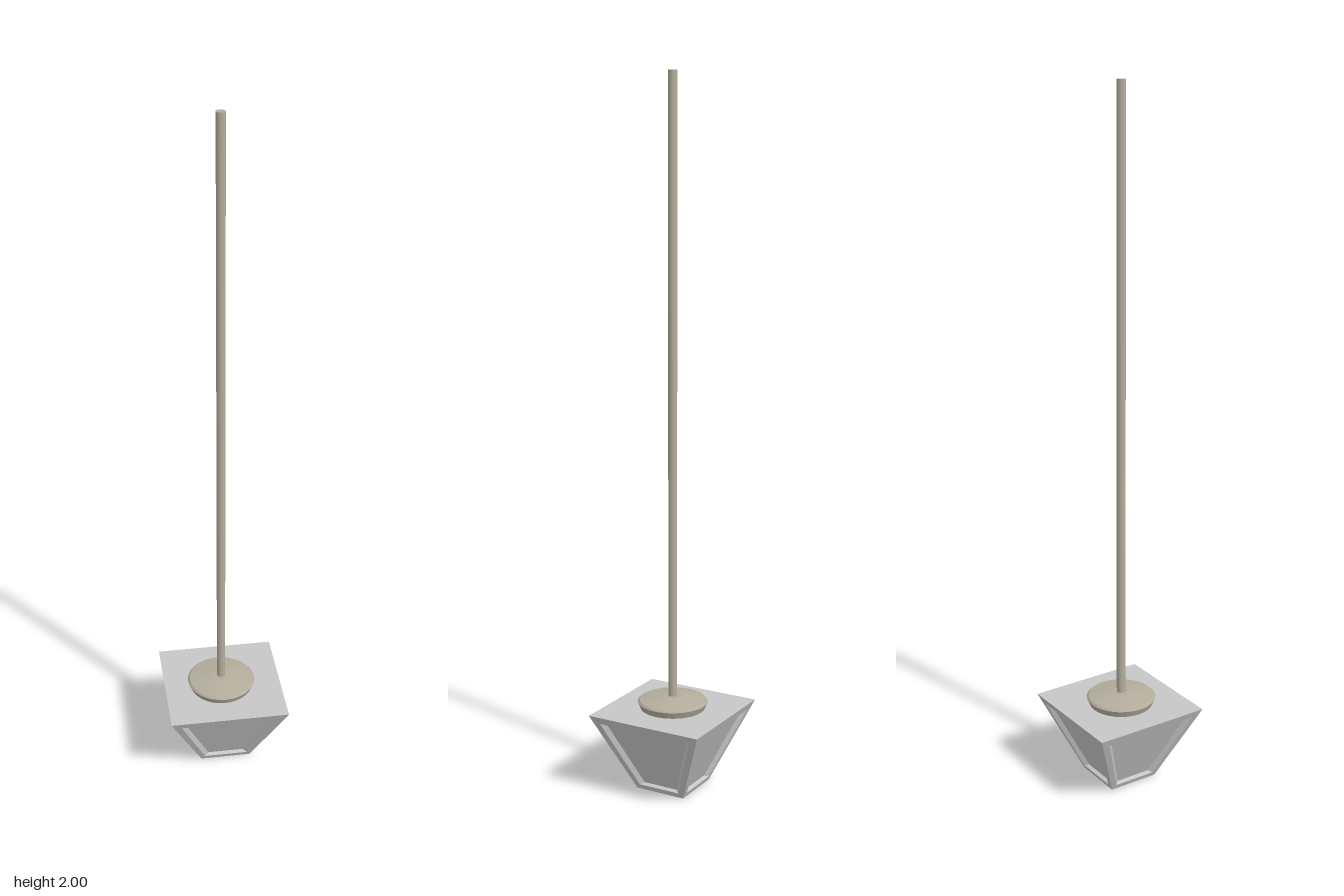
import * as THREE from 'three';

const TOP = 0.231, HALF_TOP = 0.174, HALF_BOTTOM = 0.075;

// Nested four-corner loops, joined by strips and closed by the last loop
function loopsGeometry(loops) {
  const pos = [];
  const quad = (a, b, c, d) => [a, b, c, a, c, d].forEach(p => pos.push(...p));
  for (let k = 0; k < loops.length - 1; k++) {
    const a = loops[k], b = loops[k + 1];
    for (let i = 0; i < 4; i++) {
      const j = (i + 1) % 4;
      quad(a[i], a[j], b[j], b[i]);
    }
  }
  quad(...loops[loops.length - 1]);
  const geo = new THREE.BufferGeometry();
  geo.setAttribute('position', new THREE.Float32BufferAttribute(pos, 3));
  geo.computeVertexNormals();
  return geo;
}

export function createModel() {
  const group = new THREE.Group();
  const shadeGrey = new THREE.MeshStandardMaterial({ color: 0xc6c6c6, side: THREE.DoubleSide });
  const metal = new THREE.MeshStandardMaterial({ color: 0xb3ad9c });
  const add = (name, geo, mat, parent = group) => {
    const mesh = new THREE.Mesh(geo, mat);
    mesh.name = name;
    parent.add(mesh);
    return mesh;
  };

  // Tapered square shade: four sloping sides with recessed panes
  const shade = new THREE.Group();
  shade.name = 'shade';
  group.add(shade);
  const slope = (HALF_TOP - HALF_BOTTOM) / TOP;
  const trapezoid = (halfLow, yLow, halfHigh, yHigh, inset) => {
    const z = y => HALF_BOTTOM + slope * y - inset;
    return [
      [-halfLow, yLow, z(yLow)], [halfLow, yLow, z(yLow)],
      [halfHigh, yHigh, z(yHigh)], [-halfHigh, yHigh, z(yHigh)],
    ];
  };
  const side = loopsGeometry([
    trapezoid(HALF_BOTTOM, 0, HALF_TOP, TOP, 0),
    trapezoid(0.064, 0.015, 0.143, 0.21, 0),
    trapezoid(0.053, 0.02, 0.128, 0.205, 0.012),
  ]);
  for (let i = 0; i < 4; i++) add('shadeSide', side, shadeGrey, shade).rotation.y = i * Math.PI / 2;

  // Flat lid, and a bottom with a shallow recessed pane
  const square = (h, y) => [[-h, y, -h], [h, y, -h], [h, y, h], [-h, y, h]];
  add('shadeBottom', loopsGeometry([square(HALF_BOTTOM, 0), square(0.062, 0), square(0.06, 0.008)]), shadeGrey, shade);
  add('shadeTop', loopsGeometry([square(HALF_TOP, TOP).reverse()]), shadeGrey, shade);

  // Round canopy with a shallow conical top
  const profile = [[0, 0.23], [0.092, 0.23], [0.1, 0.25], [0.095, 0.255], [0.028, 0.266], [0, 0.266]]
    .map(([r, y]) => new THREE.Vector2(r, y));
  for (let i = 0; i < profile.length - 1; i++) {
    add('canopy', new THREE.LatheGeometry([profile[i], profile[i + 1]], 32), metal).position.set(-0.004, 0, 0.004);
  }

  // Long hanging rod
  const rodLength = 2 - 0.25;
  add('rod', new THREE.CylinderGeometry(0.0125, 0.0125, rodLength, 20), metal)
    .position.set(-0.004, 2 - rodLength / 2, 0.004);

  return group;
}
